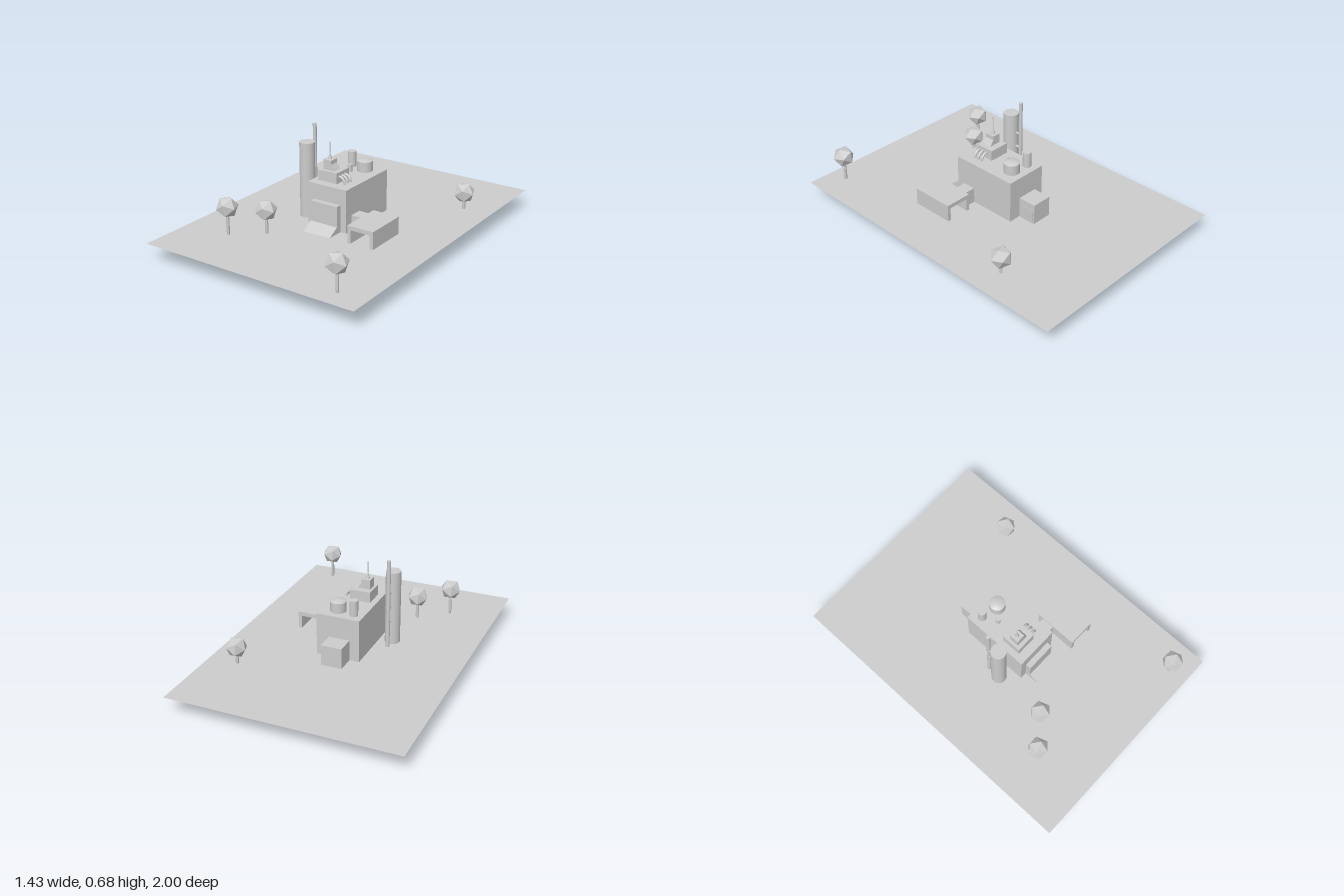
import * as THREE from 'three';

const GROUND = 0.113;
const ROOF = 0.382;

export function createModel() {
  const model = new THREE.Group();
  const smooth = new THREE.MeshStandardMaterial({ color: 0xcccccc });
  const flat = new THREE.MeshStandardMaterial({ color: 0xcccccc, flatShading: true });
  const sheet = new THREE.MeshStandardMaterial({ color: 0xcccccc, side: THREE.DoubleSide });

  function add(parent, name, geometry, material = smooth) {
    const mesh = new THREE.Mesh(geometry, material);
    mesh.name = name;
    parent.add(mesh);
    return mesh;
  }

  // Box given by its extents on each axis
  function box(name, x0, x1, y0, y1, z0, z1) {
    const g = new THREE.BoxGeometry(x1 - x0, y1 - y0, z1 - z0);
    g.translate((x0 + x1) / 2, (y0 + y1) / 2, (z0 + z1) / 2);
    return add(model, name, g);
  }

  // Upright cylinder given by its bottom and top heights
  function column(name, x, z, y0, y1, r, rTop = r, sides = 32) {
    const g = new THREE.CylinderGeometry(rTop, r, y1 - y0, sides);
    g.translate(x, (y0 + y1) / 2, z);
    return add(model, name, g);
  }

  // Outline in x/y extruded from z0 to z1
  function extrude(points, z0, z1) {
    const shape = new THREE.Shape(points.map(([x, y]) => new THREE.Vector2(x, y)));
    const g = new THREE.ExtrudeGeometry(shape, { depth: z1 - z0, bevelEnabled: false });
    return g.translate(0, 0, z0);
  }

  // Ground sheet
  add(model, 'ground', new THREE.PlaneGeometry(1.43, 2).rotateX(-Math.PI / 2), sheet).position.y = GROUND;

  // Main hall with front bay and back annex
  box('mainHall', -0.128, 0.147, GROUND, ROOF, -0.2, 0.24);
  box('frontBay', -0.085, 0.106, GROUND, 0.283, 0.24, 0.275);
  box('backAnnex', -0.066, 0.066, GROUND, 0.243, -0.318, -0.2);
  box('annexDoor', 0.066, 0.069, GROUND, 0.203, -0.305, -0.212);

  // Loading ramp: wedge profile turned to slope toward the front
  const ramp = extrude([[0, GROUND], [0.073, GROUND], [0, 0.155]], -0.106, 0.085);
  add(model, 'loadingRamp', ramp.rotateY(-Math.PI / 2).translate(0, 0, 0.275));

  // Side passage and open-ended canopy
  box('sidePassage', 0.147, 0.226, GROUND, 0.212, 0.103, 0.185);
  add(model, 'canopy', extrude([
    [0.225, GROUND], [0.247, GROUND], [0.247, 0.196], [0.378, 0.196],
    [0.378, GROUND], [0.4, GROUND], [0.4, 0.222], [0.225, 0.222],
  ], 0.068, 0.342));

  // Storage tower with slim chimney and connecting pipes
  column('tower', -0.21, 0.132, GROUND, 0.585, 0.047);
  column('chimney', -0.21, 0.053, GROUND, 0.68, 0.012, 0.012, 20);
  for (const y of [0.27, 0.365, 0.46]) {
    const link = new THREE.CylinderGeometry(0.008, 0.008, 0.05, 12).rotateX(Math.PI / 2);
    add(model, 'towerLink', link).position.set(-0.21, y, 0.075);
  }

  // Rooftop control room with sloped side and antenna
  box('rooftopBase', -0.09, 0.041, ROOF, 0.448, 0.055, 0.183);
  add(model, 'controlRoom', extrude([
    [-0.073, 0.448], [0.008, 0.448], [-0.017, 0.483], [-0.017, 0.508], [-0.073, 0.508],
  ], 0.098, 0.158));
  column('antennaFoot', -0.046, 0.127, 0.508, 0.548, 0.013, 0.002, 12);
  column('antennaRod', -0.046, 0.127, 0.54, 0.617, 0.002, 0.002, 8);

  // Bent pipes from the rooftop base down to the roof
  for (const z of [0.099, 0.128, 0.157]) {
    const bend = new THREE.TorusGeometry(0.04, 0.008, 12, 16, Math.PI / 2);
    add(model, 'bentPipe', bend).position.set(0.041, ROOF, z);
  }

  // Rooftop tanks: one domed, two plain
  const tankProfile = [[0.049, ROOF], [0.049, 0.446], [0.049, 0.446], [0.035, 0.452], [0.018, 0.456], [0, 0.457]];
  const dome = new THREE.LatheGeometry(tankProfile.map(([r, y]) => new THREE.Vector2(r, y)), 32);
  add(model, 'domedTank', dome).position.set(0.043, 0, -0.113);
  column('tallTank', -0.066, -0.135, ROOF, 0.48, 0.026);
  column('smallTank', -0.022, -0.046, ROOF, 0.427, 0.015, 0.015, 24);

  // Trees: faceted crown on a trunk that narrows downward into the ground
  const crown = new THREE.IcosahedronGeometry(0.067, 0).rotateX(0.15).rotateY(0.35).rotateZ(0.12);
  const trunkProfile = [[0, -0.22], [0.005, -0.21], [0.01, -0.15], [0.01, -0.09], [0.008, -0.03]];
  const trunk = new THREE.LatheGeometry(trunkProfile.map(([r, y]) => new THREE.Vector2(r, y)), 6);
  const trees = [[0.53, 0.22, -0.493], [-0.241, 0.26, 0.495], [-0.416, 0.285, 0.635], [0.53, 0.28, 0.876]];
  for (const [x, y, z] of trees) {
    const tree = new THREE.Group();
    tree.name = 'tree';
    tree.position.set(x, y, z);
    add(tree, 'crown', crown, flat);
    add(tree, 'trunk', trunk, flat);
    model.add(tree);
  }
  return model;
}
